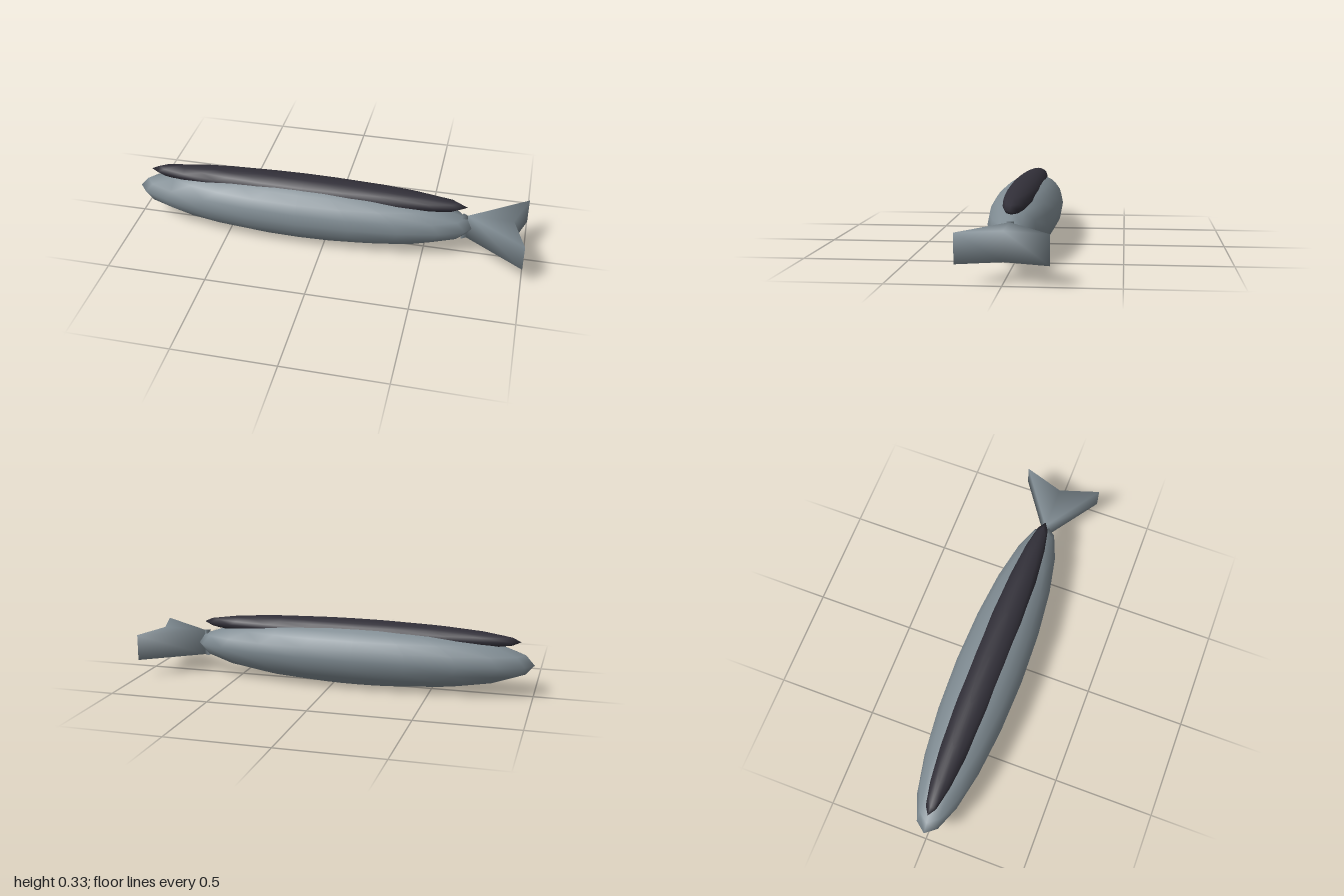
import * as THREE from 'three';
import { mergeVertices } from 'three/addons/utils/BufferGeometryUtils.js';

const skin = new THREE.MeshStandardMaterial({ name: 'fish grey', color: 0x7f8b92 });
const dark = new THREE.MeshStandardMaterial({ name: 'back charcoal', color: 0x312f38 });

// Stretched sphere, long along x
function ellipsoid(name, material, center, radii) {
  const geometry = new THREE.SphereGeometry(1, 20, 10);
  geometry.scale(...radii);
  const mesh = new THREE.Mesh(geometry, material);
  mesh.name = name;
  mesh.position.set(...center);
  return mesh;
}

// Upright prism from an x-z outline, with normals shared across its edges
function softPrism(name, outline, bottom, height) {
  const shape = new THREE.Shape(outline.map(([x, z]) => new THREE.Vector2(x, z)));
  let geometry = new THREE.ExtrudeGeometry(shape, { depth: height, bevelEnabled: false });
  geometry.rotateX(-Math.PI / 2);
  geometry.translate(0, bottom, 0);
  geometry.deleteAttribute('normal');
  geometry.deleteAttribute('uv');
  geometry.clearGroups();
  geometry = mergeVertices(geometry);
  geometry.computeVertexNormals();
  const mesh = new THREE.Mesh(geometry, skin);
  mesh.name = name;
  return mesh;
}

export function createModel() {
  const fish = new THREE.Group();
  fish.name = 'fish';

  // Body and the dark back lying along its top
  fish.add(ellipsoid('body', skin, [-0.127, 0.158, 0], [0.873, 0.157, 0.175]));
  fish.add(ellipsoid('darkBack', dark, [-0.113, 0.27, 0], [0.818, 0.063, 0.085]));

  // Forked tail fin and its small flared root inside the body
  fish.add(softPrism('tailFin', [[0.71, 0], [1, -0.2], [0.935, 0], [1, 0.2]], 0.09, 0.133));
  fish.add(softPrism('tailRoot', [[0.71, 0], [0.685, 0.017], [0.685, -0.017]], 0.09, 0.133));

  return fish;
}
